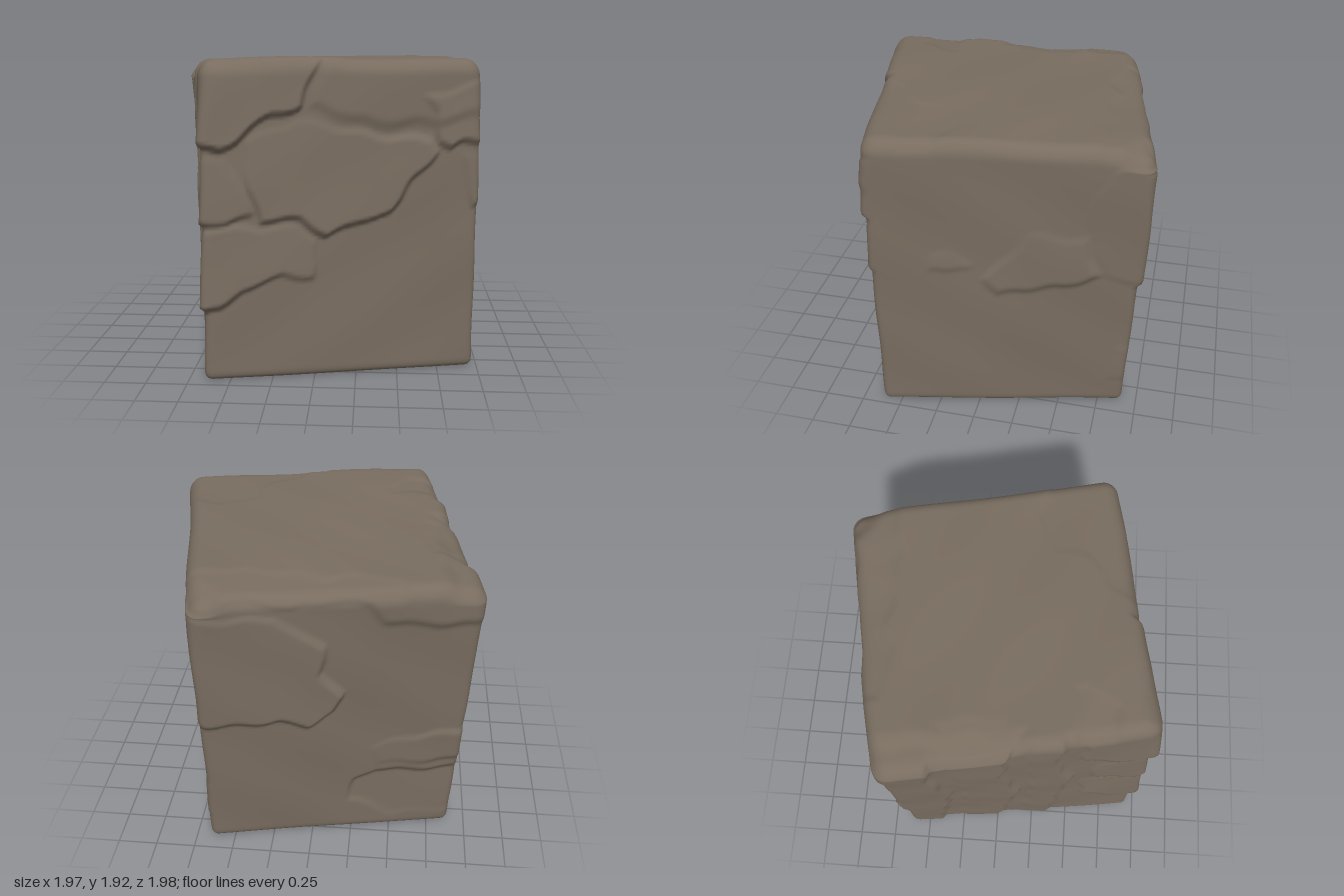
import * as THREE from 'three';
import { mergeVertices } from 'three/addons/utils/BufferGeometryUtils.js';

// Corners [x, y, z] of the block: front-left, front-right, back-right, back-left
const TOP = [[-0.64, 1.92, 0.91], [0.975, 1.925, 0.62], [0.66, 1.86, -1.01], [-0.99, 1.84, -0.68]];
const BOTTOM = [[-0.65, 0, 0.96], [0.98, 0, 0.61], [0.65, 0, -0.905], [-0.865, 0, -0.62]];

// Chipped plates per side: h = height, lip = direction in which the plate thickens,
// pts = outline in (x, y), (z, y) or (x, z) depending on the side.
const PLATES = {
  front: [
    { h: 0.06, lip: [0, -1], pts: [[-0.9, 2.1], [0.12, 2.1], [0, 1.8], [-0.08, 1.62], [-0.25, 1.57], [-0.45, 1.43], [-0.55, 1.38], [-0.9, 1.42]] },
    { h: 0.02, lip: [0, -1], pts: [[0.12, 2.1], [-0.07, 1.62], [0.1, 1.56], [0.35, 1.49], [0.7, 1.5], [1.2, 1.6], [1.2, 2.1]], soft: 0.08 },
    { h: 0.035, lip: [0, -1], pts: [[0.6, 1.69], [0.69, 1.6], [0.72, 1.42], [0.8, 1.36], [0.88, 1.4], [1.2, 1.4], [1.2, 1.85]] },
    { h: 0.045, lip: [0.3, -1], pts: [[-0.42, 1.45], [-0.1, 1.58], [0.35, 1.48], [0.7, 1.46], [0.74, 1.37], [0.6, 1.2], [0.45, 0.98], [0.3, 0.95], [0.05, 0.85], [-0.02, 0.9], [-0.1, 0.96], [-0.33, 0.96], [-0.4, 1.15]] },
    { h: 0.035, lip: [-0.3, -1], pts: [[-0.9, 1.36], [-0.5, 1.36], [-0.42, 1.25], [-0.35, 1.0], [-0.5, 0.94], [-0.9, 0.98]] },
    { h: 0.055, lip: [-0.5, -1], pts: [[-0.9, 0.96], [-0.3, 0.95], [-0.1, 0.95], [0.02, 0.87], [0.03, 0.7], [0, 0.6], [-0.2, 0.62], [-0.4, 0.55], [-0.55, 0.43], [-0.9, 0.4]] },
    { h: 0.025, lip: [0, -1], pts: [[0.85, 1.36], [0.88, 1.2], [0.94, 1.03], [1.2, 1.02], [1.2, 1.37]] },
  ],
  back: [
    { h: 0.04, lip: [-0.5, -1], pts: [[0.9, 0.93], [0.5, 0.93], [0.2, 0.95], [0, 0.9], [-0.15, 1.0], [-0.2, 1.15], [-0.08, 1.3], [-0.1, 1.5], [0.2, 1.72], [0.9, 1.72]] },
    { h: -0.03, lip: [0, 1], pts: [[-0.22, 0.25], [-0.25, 0.42], [-0.4, 0.52], [-0.6, 0.5], [-1.1, 0.5], [-1.1, 0.1], [-0.5, 0.1]] },
    { h: 0.025, lip: [-1, 0], pts: [[-0.35, 0.72], [-0.38, 0.56], [-0.6, 0.54], [-1.1, 0.56], [-1.1, 0.85], [-0.6, 0.78]] },
    { h: 0.025, lip: [-0.3, -1], pts: [[0.9, 2.1], [-1.2, 2.1], [-1.2, 1.55], [-0.6, 1.58], [-0.4, 1.62], [-0.33, 1.75], [-0.1, 1.78], [0.1, 1.74], [0.3, 1.8], [0.9, 1.8]], soft: 0.06 },
  ],
  right: [
    { h: 0.015, lip: [-1, 0], pts: [[-0.62, 1.4], [-0.68, 1.2], [-0.72, 1.0], [-1.2, 0.9], [-1.2, 1.9], [-0.75, 1.76], [-0.65, 1.58]] },
    { h: 0.025, lip: [-0.3, -1], pts: [[-0.12, 0.85], [-0.25, 0.89], [-0.5, 0.92], [-0.74, 1.0], [-0.65, 1.3], [-0.3, 1.35], [0, 1.0]], soft: 0.06 },
    { h: 0.015, lip: [-1, 0], pts: [[-0.82, 0.46], [-0.8, 0.2], [-1.2, 0.1], [-1.2, 0.48]] },
    { h: 0.015, lip: [0, -1], pts: [[0.3, 1.05], [0.18, 1.01], [0, 1.08], [0.1, 1.2], [0.28, 1.18]], soft: 0.05 },
  ],
  left: [
    { h: 0.035, lip: [1, 0], pts: [[-1.1, 2.1], [-0.36, 2.1], [-0.38, 1.5], [-0.28, 1.0], [-0.34, 0.4], [-0.42, -0.2], [-1.1, -0.2]] },
    { h: 0.035, lip: [1, 0], pts: [[-0.3, 2.1], [0.11, 2.1], [0.05, 1.4], [0.15, 0.9], [0.08, 0.35], [0, -0.2], [-0.28, -0.2], [-0.22, 1.0]] },
    { h: 0.035, lip: [1, 0], pts: [[0.16, 2.1], [0.42, 2.1], [0.38, 1.5], [0.48, 1.1], [0.42, 0.5], [0.35, -0.2], [0.15, -0.2], [0.2, 0.9]] },
    { h: 0.03, lip: [0, -1], pts: [[0.5, 1.95], [1.3, 1.95], [1.3, 1.4], [0.75, 1.38], [0.5, 1.5]] },
    { h: 0.03, lip: [0, -1], pts: [[0.6, 1.34], [1.3, 1.36], [1.3, 0.98], [0.8, 0.93], [0.58, 1.05]] },
    { h: 0.035, lip: [0, -1], pts: [[0.52, 0.95], [1.3, 0.92], [1.3, 0.4], [0.8, 0.42], [0.55, 0.6]] },
  ],
  top: [
    { h: -0.03, lip: [1, 1], pts: [[0.1, 0.78], [0.2, 0.6], [0.38, 0.45], [0.42, 0.28], [0.55, 0.17], [0.7, 0.14], [0.87, 0.18], [1.2, 0.3], [1.2, 1.1]], soft: 0.06 },
    { h: -0.05, lip: [0, -1], pts: [[-0.55, -0.68], [-0.4, -0.62], [-0.2, -0.61], [-0.1, -0.66], [0.1, -0.63], [0.4, -0.64], [0.9, -0.72], [0.9, -1.3], [-0.6, -1.2]], soft: 0.06 },
    { h: -0.04, lip: [-1, 0], pts: [[-1.2, -0.37], [-0.65, -0.37], [-0.62, -0.2], [-0.6, 0.05], [-0.75, 0.12], [-1.2, 0.1]], soft: 0.06 },
    { h: -0.03, lip: [-1, 0], pts: [[-1, 0.45], [-0.65, 0.44], [-0.42, 0.42], [-0.35, 0.52], [-0.5, 0.7], [-1, 0.75]], soft: 0.06 },
    { h: -0.03, lip: [0, 1], pts: [[-0.62, 0.82], [-0.45, 0.76], [-0.3, 0.82], [-0.15, 0.76], [0, 0.8], [0, 1.2], [-0.6, 1.2]], soft: 0.06 },
    // Worn-down back corners
    { h: -0.11, lip: [-1, 0], pts: [[-0.74, -1], [-0.7, -0.3], [-0.64, 0.2], [-1.3, 0.3], [-1.3, -1]], soft: 0.12 },
    { h: -0.12, lip: [0.4, -1], pts: [[0.3, -1.3], [0.45, -0.86], [0.65, -0.78], [0.9, -0.6], [1.1, -1.3]], soft: 0.12 },
  ],
  bottom: [],
};

const SIDES = [
  { name: 'front', axis: 'z', sign: 1, uv: ['x', 'y'], normal: [0.21, 0, 0.98] },
  { name: 'back', axis: 'z', sign: -1, uv: ['x', 'y'], normal: [-0.21, 0, -0.98] },
  { name: 'right', axis: 'x', sign: 1, uv: ['z', 'y'], normal: [0.98, 0, -0.21] },
  { name: 'left', axis: 'x', sign: -1, uv: ['z', 'y'], normal: [-0.98, 0, 0.21] },
  { name: 'top', axis: 'y', sign: 1, uv: ['x', 'z'], normal: [0, 1, 0] },
  { name: 'bottom', axis: 'y', sign: -1, uv: ['x', 'z'], normal: [0, -1, 0] },
].map((s) => ({ ...s, normal: new THREE.Vector3(...s.normal) }));

// Distance from (u, v) to an outline, 0 outside it
function depthInside(u, v, pts) {
  let inside = false, best = Infinity;
  pts.forEach(([ax, ay], i) => {
    const [bx, by] = pts[(i + 1) % pts.length];
    if ((ay > v) !== (by > v) && u < ((bx - ax) * (v - ay)) / (by - ay) + ax) inside = !inside;
    const dx = bx - ax, dy = by - ay;
    const t = THREE.MathUtils.clamp(((u - ax) * dx + (v - ay) * dy) / (dx * dx + dy * dy), 0, 1);
    best = Math.min(best, Math.hypot(u - ax - t * dx, v - ay - t * dy));
  });
  return inside ? best : 0;
}

// Surface relief of one side: chipped plates plus a gentle unevenness
function relief(side, u, v) {
  if (side.name === 'bottom') return 0;
  let sum = 0.004 * Math.sin(5.1 * u + 2.3 * v + side.sign) + 0.003 * Math.sin(9.7 * v - 6.3 * u);
  // Wobble the outlines so the cracks run irregularly
  const uw = u + 0.012 * Math.sin(19 * v + 7 * u), vw = v + 0.012 * Math.sin(21 * u - 5 * v);
  for (const { h, lip, pts, soft = 0.035 } of PLATES[side.name]) {
    const d = depthInside(uw, vw, pts);
    if (!d) continue;
    const along = pts.map(([a, b]) => a * lip[0] + b * lip[1]);
    const lo = Math.min(...along), hi = Math.max(...along);
    const k = (uw * lip[0] + vw * lip[1] - lo) / (hi - lo);
    sum += h * (0.1 + 0.9 * k) * THREE.MathUtils.smoothstep(d, 0, soft);
  }
  return sum;
}

// Position in the skewed block from box coordinates in -1..1
function warp(p) {
  const a = (p.x + 1) / 2, b = (p.z + 1) / 2, t = (p.y + 1) / 2;
  const weights = [(1 - a) * b, a * b, a * (1 - b), (1 - a) * (1 - b)];
  const out = [0, 1, 2].map((k) =>
    weights.reduce((s, w, i) => s + w * (TOP[i][k] * t + BOTTOM[i][k] * (1 - t)), 0));
  return new THREE.Vector3(...out);
}

function blockGeometry() {
  const n = 100;
  let geo = new THREE.BoxGeometry(2, 2, 2, n, n, n);
  geo.deleteAttribute('uv');
  geo.deleteAttribute('normal');
  geo = mergeVertices(geo, 1e-4);
  geo.clearGroups();
  const pos = geo.attributes.position;
  const p = new THREE.Vector3(), core = new THREE.Vector3();
  for (let i = 0; i < pos.count; i++) {
    p.fromBufferAttribute(pos, i);
    // Round the edges, tightly at the foot and more widely at the crown
    const r = 0.055 + 0.055 * THREE.MathUtils.smoothstep(p.y, 0.4, 1);
    core.copy(p).clampScalar(-1 + r, 1 - r);
    p.sub(core).setLength(r).add(core);
    const w = warp(p), moved = w.clone();
    for (const side of SIDES) {
      const weight = THREE.MathUtils.smoothstep(p[side.axis] * side.sign, 0.82, 0.97);
      if (weight > 0) moved.addScaledVector(side.normal, weight * relief(side, w[side.uv[0]], w[side.uv[1]]));
    }
    pos.setXYZ(i, moved.x, moved.y, moved.z);
  }
  geo.computeVertexNormals();
  return geo;
}

export function createModel() {
  const stone = new THREE.MeshStandardMaterial({ color: 0x786c5f });
  stone.name = 'stone';
  const block = new THREE.Mesh(blockGeometry(), stone);
  block.name = 'stoneBlock';
  const group = new THREE.Group();
  group.name = 'rockCube';
  group.add(block);
  return group;
}
